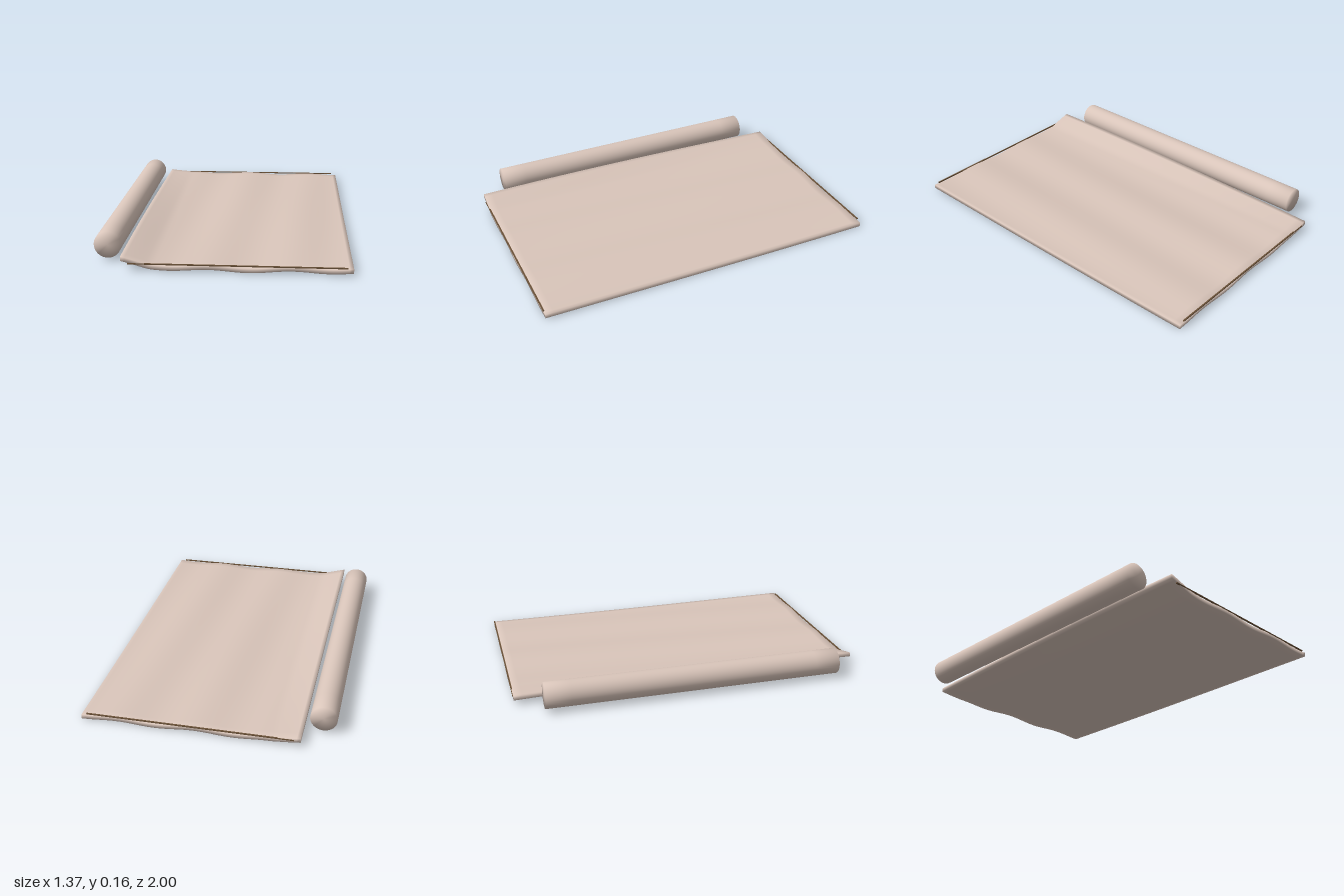
import * as THREE from 'three';
import { mergeVertices } from 'three/addons/utils/BufferGeometryUtils.js';

// Weld a geometry so its shading rolls softly over the edges
function soften(geometry) {
  geometry.deleteAttribute('uv');
  geometry.deleteAttribute('normal');
  const welded = mergeVertices(geometry, 1e-5);
  welded.computeVertexNormals();
  return welded;
}

// Height of the cloth: shallow ripples, curling up beside the bolster
function clothHeight(x, z) {
  const ripple = 0.006 * Math.cos(15 * x + 0.9 * z) + 0.002 * Math.sin(6 * x - 2 * z);
  const curl = Math.max(0, (-0.36 - x) / 0.155);
  return 0.02 + ripple + Math.pow(curl, 1.3) * (0.043 - 0.012 * (z - 0.2) ** 2);
}

export function createModel() {
  const group = new THREE.Group();
  const cloth = new THREE.MeshStandardMaterial({ color: 0xd9c5ba });
  cloth.name = 'beige cloth';
  const braid = new THREE.MeshStandardMaterial({ color: 0x6b5238 });
  braid.name = 'brown braid';

  const add = (name, geometry, material, x, y, z) => {
    const mesh = new THREE.Mesh(geometry, material);
    mesh.name = name;
    mesh.position.set(x, y, z);
    group.add(mesh);
    return mesh;
  };

  // Rippled blanket
  const sheet = new THREE.BoxGeometry(1.195, 0.024, 1.994, 56, 1, 40);
  sheet.translate(0.0825, 0, 0);
  const p = sheet.attributes.position;
  for (let i = 0; i < p.count; i++) {
    p.setY(i, p.getY(i) + clothHeight(p.getX(i), p.getZ(i)));
  }
  const blanket = soften(sheet);
  blanket.computeBoundingBox();
  add('blanket', blanket, cloth, 0, -blanket.boundingBox.min.y, 0);

  // Straight braid along both short ends
  for (const side of [1, -1]) {
    add(side > 0 ? 'frontBraid' : 'backBraid',
      new THREE.BoxGeometry(1.13, 0.006, 0.008), braid, 0.085, 0.037, side * 0.996);
  }

  // Bolster lying along the curled edge
  const roll = new THREE.CylinderGeometry(0.073, 0.073, 1.69, 40, 12);
  roll.rotateX(Math.PI / 2);
  add('bolster', soften(roll), cloth, -0.612, 0.085, 0);

  return group;
}
